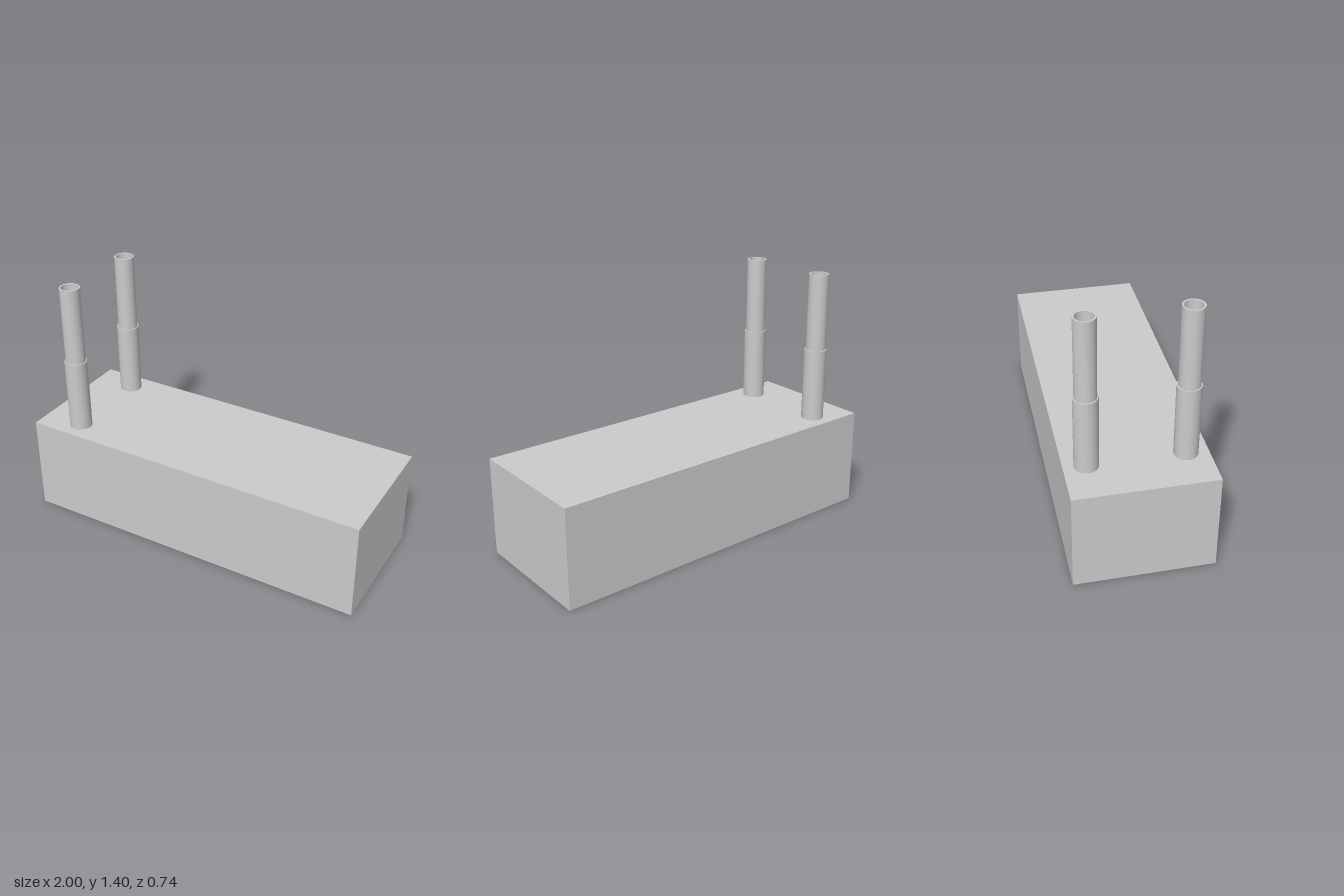
import * as THREE from 'three';
import { toCreasedNormals } from 'three/addons/utils/BufferGeometryUtils.js';

const BODY = { width: 2, height: 0.555, depth: 0.74 };
const SLEEVE_TOP = 0.967, PIPE_TOP = 1.402;
const SLEEVE_R = 0.063, PIPE_R = 0.056, BORE_R = 0.046;

// Surface of revolution with sharp rims and smooth walls
function turned(name, profile, material) {
  const points = profile.map(([r, y]) => new THREE.Vector2(r, y));
  const geometry = toCreasedNormals(new THREE.LatheGeometry(points, 24), 0.6);
  const mesh = new THREE.Mesh(geometry, material);
  mesh.name = name;
  return mesh;
}

export function createModel() {
  const model = new THREE.Group();
  model.name = 'blockWithPipes';
  const material = new THREE.MeshStandardMaterial({ color: 0xcccccc });

  // Solid rectangular body
  const body = new THREE.Mesh(new THREE.BoxGeometry(BODY.width, BODY.height, BODY.depth), material);
  body.name = 'body';
  body.position.y = BODY.height / 2;
  model.add(body);

  // Two upright hollow pipes, each held in a wider sleeve
  for (const [name, side] of [['frontPipe', 1], ['backPipe', -1]]) {
    const pipe = new THREE.Group();
    pipe.name = name;
    pipe.position.set(-0.763, 0, side * 0.252);
    pipe.add(
      turned('sleeve', [[SLEEVE_R, BODY.height], [SLEEVE_R, SLEEVE_TOP], [PIPE_R, SLEEVE_TOP]], material),
      turned('tube', [[PIPE_R, SLEEVE_TOP], [PIPE_R, PIPE_TOP], [BORE_R, PIPE_TOP], [BORE_R, BODY.height]], material)
    );
    model.add(pipe);
  }
  return model;
}
